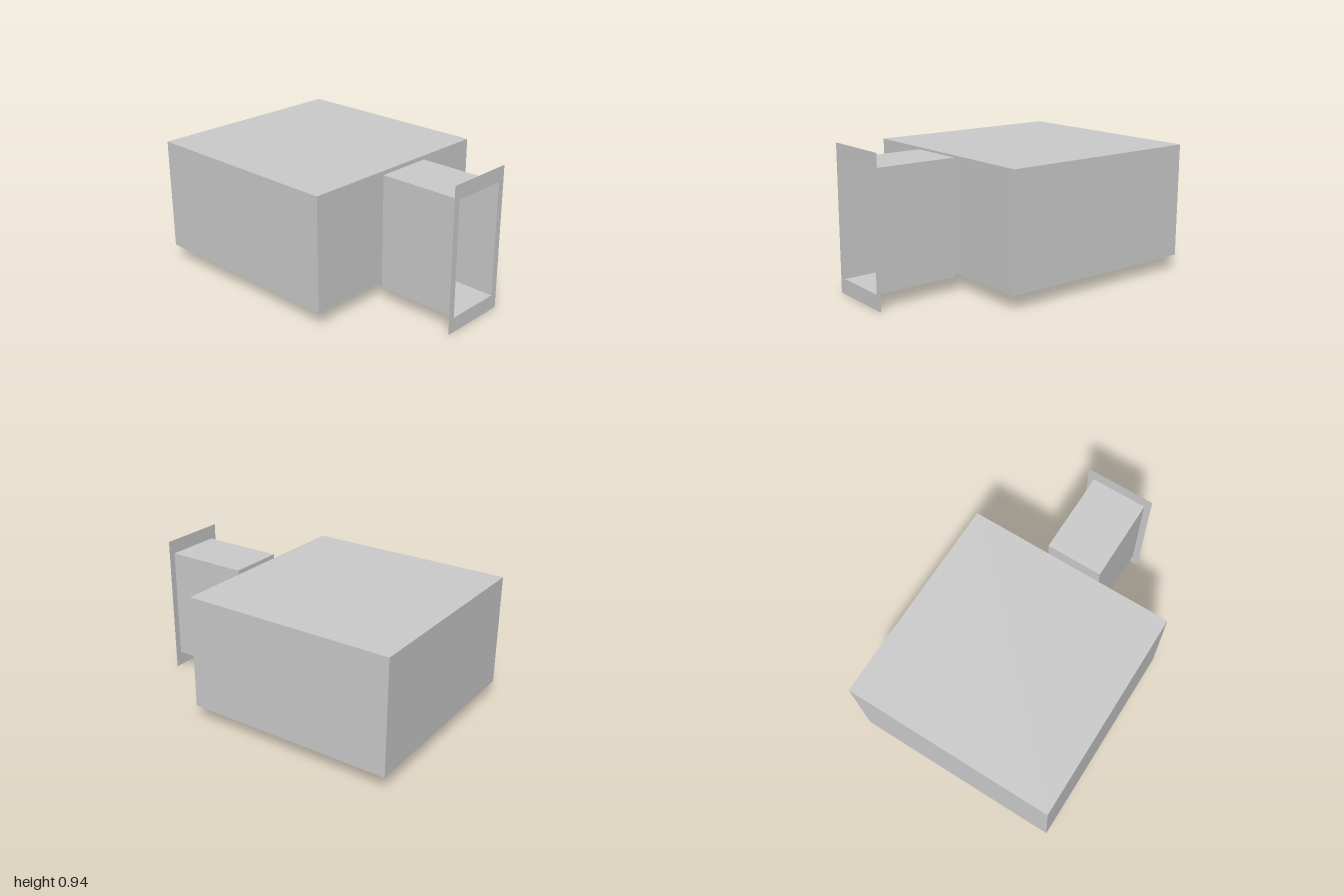
import * as THREE from 'three';

const FLOOR = 0.097, TOP = 0.842;

export function createModel() {
  const group = new THREE.Group();
  const grey = new THREE.MeshStandardMaterial({ color: 0xcccccc, side: THREE.DoubleSide });
  grey.name = 'plain grey';

  const add = (name, geometry) => {
    const mesh = new THREE.Mesh(geometry, grey);
    mesh.name = name;
    group.add(mesh);
    return mesh;
  };

  // Thin-walled box along x; the first one or two end faces (+x, then -x) are left open
  const shell = (name, x0, x1, halfZ, y0, y1, openEnds) => {
    const g = new THREE.BoxGeometry(x1 - x0, y1 - y0, halfZ * 2);
    g.clearGroups();
    g.setIndex(Array.from(g.index.array).slice(openEnds * 6));
    g.translate((x0 + x1) / 2, (y0 + y1) / 2, 0);
    return add(name, g);
  };

  const corners = (h, y0, y1) => [[-h, y0], [h, y0], [h, y1], [-h, y1]].map(p => new THREE.Vector2(...p));

  // Flat sheet facing +x with a rectangular opening; openings may reach the floor
  const sheet = (name, x, outline, opening) => {
    const shape = new THREE.Shape(outline);
    if (opening) shape.holes.push(new THREE.Path(opening));
    const g = new THREE.ShapeGeometry(shape);
    g.rotateY(Math.PI / 2).translate(x, 0, 0);
    return add(name, g);
  };

  // Wall outline that steps around a doorway standing on the floor
  const doorWall = (h, top, doorH, doorTop) => [
    [-h, FLOOR], [-doorH, FLOOR], [-doorH, doorTop], [doorH, doorTop],
    [doorH, FLOOR], [h, FLOOR], [h, top], [-h, top],
  ].map(p => new THREE.Vector2(...p));

  // Main room and its doorway wall
  shell('mainRoom', -1, 0.393, 0.697, FLOOR, TOP, 1);
  sheet('mainRoomDoorWall', 0.393, doorWall(0.697, TOP, 0.137, 0.655));

  // Narrow threshold joining the two volumes
  shell('threshold', 0.393, 0.44, 0.137, FLOOR, 0.655, 2);

  // Entrance passage with its inner end wall
  shell('passage', 0.44, 1, 0.188, FLOOR, TOP, 2);
  sheet('passageDoorWall', 0.44, doorWall(0.188, TOP, 0.137, 0.655));

  // Shallow splayed door trim: outer edge forward, inner edge set back
  const trim = sheet('doorTrim', 0, doorWall(0.155, 0.676, 0.117, 0.637));
  const p = trim.geometry.attributes.position;
  for (let i = 0; i < p.count; i++) {
    const outer = Math.abs(p.getZ(i)) > 0.14;
    p.setX(i, outer ? 0.455 : 0.443);
  }
  trim.geometry = trim.geometry.toNonIndexed();
  trim.geometry.computeVertexNormals();

  // Flange around the outer opening
  sheet('flange', 1, corners(0.233, 0, 0.936), corners(0.188, FLOOR, TOP));

  return group;
}
